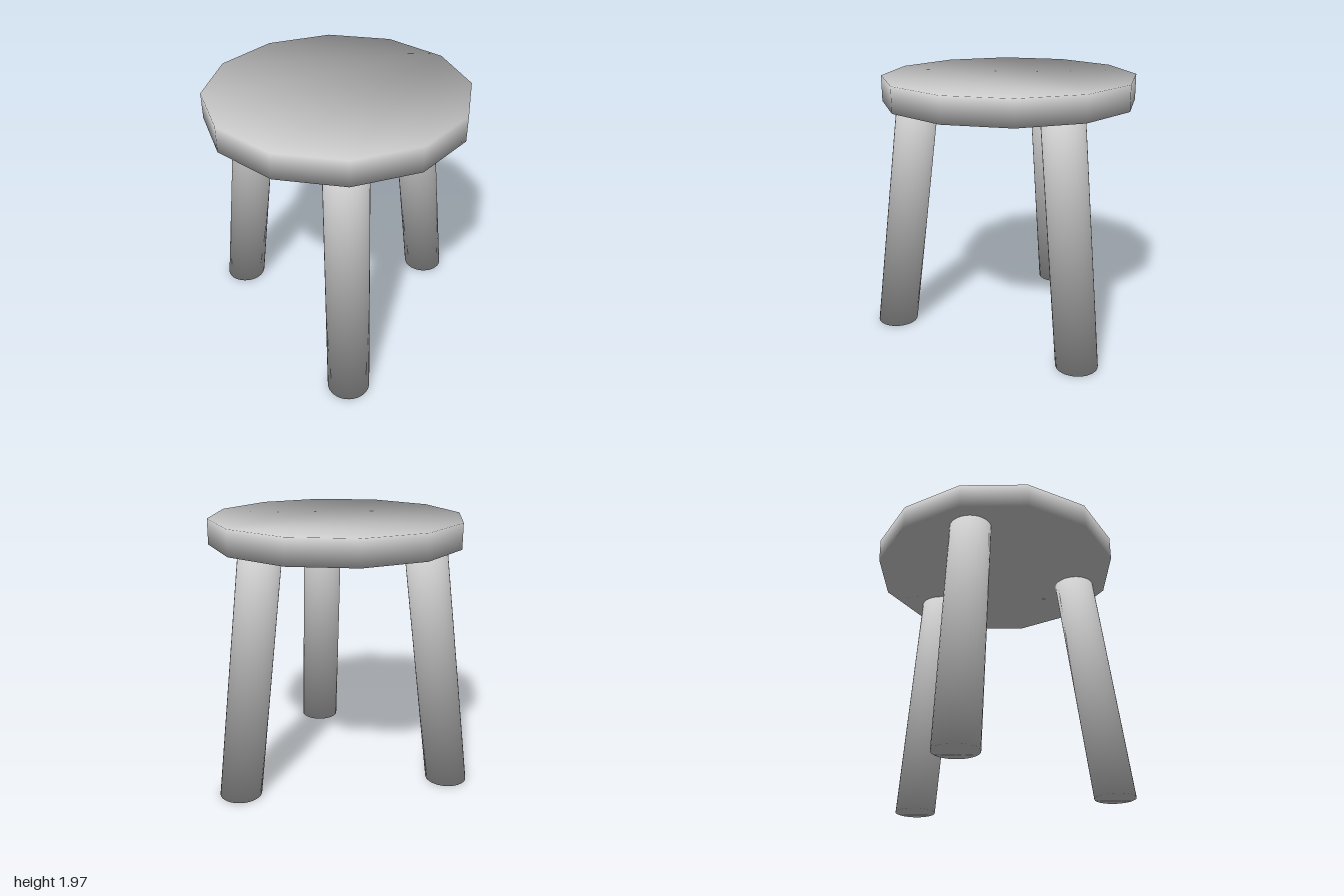
import * as THREE from 'three';

const material = new THREE.MeshStandardMaterial({ color: 0xcccccc, side: THREE.DoubleSide });

// Closed, smooth-shaded prism between two horizontal rings; the rings may be offset to slant it.
function prism(name, sides, radius, bottom, top) {
  const positions = [], normals = [], index = [];
  // Rim normals are shared by caps and sides, weighted by corner angle
  const out = Math.PI * Math.cos(Math.PI / sides);
  const up = Math.PI - 2 * Math.PI / sides;
  const n = new THREE.Vector3();
  [bottom, top].forEach((c, ring) => {
    for (let i = 0; i < sides; i++) {
      const a = i / sides * Math.PI * 2;
      positions.push(c.x + radius * Math.cos(a), c.y, c.z + radius * Math.sin(a));
      n.set(out * Math.cos(a), ring ? up : -up, out * Math.sin(a)).normalize();
      normals.push(n.x, n.y, n.z);
    }
  });
  for (let i = 0; i < sides; i++) {
    const j = (i + 1) % sides;
    index.push(i, sides + i, sides + j, i, sides + j, j);
    if (i > 0 && j > 0) {
      index.push(0, i, j, sides, sides + j, sides + i);
    }
  }
  const geometry = new THREE.BufferGeometry();
  geometry.setAttribute('position', new THREE.Float32BufferAttribute(positions, 3));
  geometry.setAttribute('normal', new THREE.Float32BufferAttribute(normals, 3));
  geometry.setIndex(index);
  const mesh = new THREE.Mesh(geometry, material);
  mesh.name = name;
  return mesh;
}

export function createModel() {
  const stool = new THREE.Group();
  stool.name = 'stool';
  const centreX = -0.063, seatBottom = 1.78, seatTop = 1.967;

  // Twelve-sided seat
  stool.add(prism('seat', 12, 0.937,
    new THREE.Vector3(centreX, seatBottom, 0), new THREE.Vector3(centreX, seatTop, 0)));

  // Three splayed legs, cut level at both ends
  ['leftLeg', 'frontRightLeg', 'backRightLeg'].forEach((name, i) => {
    const a = i * Math.PI * 2 / 3;
    const at = (r, y) => new THREE.Vector3(centreX + r * Math.cos(a), y, r * Math.sin(a));
    stool.add(prism(name, 32, 0.154, at(0.908, 0), at(0.677, seatBottom)));
  });
  return stool;
}
